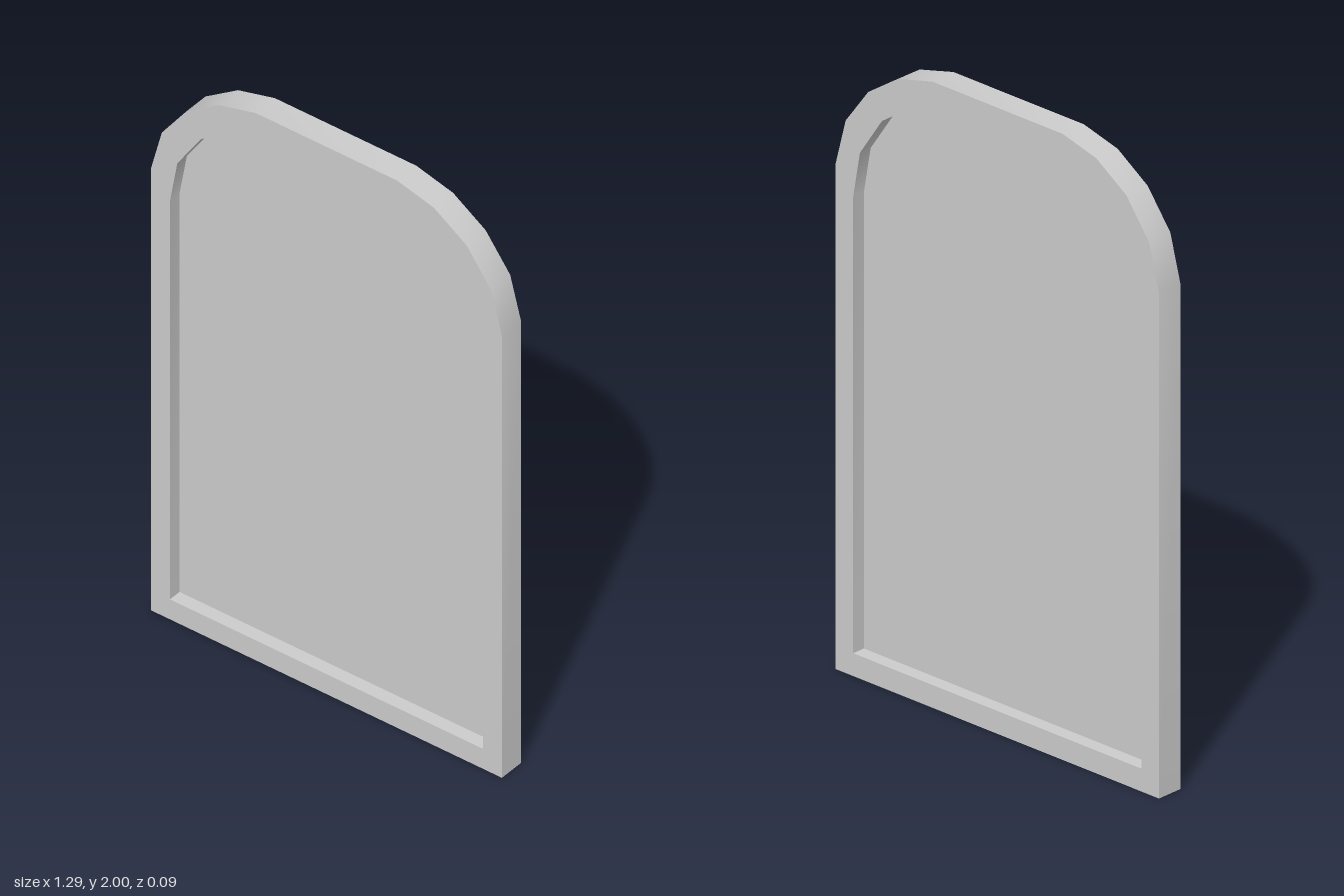
import * as THREE from 'three';
import { toCreasedNormals } from 'three/addons/utils/BufferGeometryUtils.js';

const DEPTH = 0.09;

// right half of each outline, from the bottom corner up to the flat top
const OUTER = [[0.645, 0], [0.645, 1.615], [0.605, 1.765], [0.515, 1.885], [0.395, 1.965], [0.26, 2]];
const INNER = [[0.575, 0.073], [0.575, 1.53], [0.548, 1.68], [0.46, 1.81], [0.337, 1.893], [0.2, 1.92]];

// mirror a half outline into a closed, counter-clockwise loop
function archPoints(half) {
  const left = half.map(([x, y]) => [-x, y]).reverse();
  return [...half, ...left].map(([x, y]) => new THREE.Vector2(x, y));
}

export function createModel() {
  const model = new THREE.Group();
  model.name = 'archedPanel';

  // frame: arched border, smooth round the arch and sharp elsewhere
  const border = new THREE.Shape(archPoints(OUTER));
  border.holes.push(new THREE.Path(archPoints(INNER).reverse()));
  const frameGeometry = new THREE.ExtrudeGeometry(border, { depth: DEPTH, bevelEnabled: false });
  frameGeometry.translate(0, 0, -DEPTH / 2);
  const frame = new THREE.Mesh(
    toCreasedNormals(frameGeometry, 0.7),
    new THREE.MeshStandardMaterial({ color: 0xcccccc })
  );
  frame.name = 'frame';
  model.add(frame);

  // pane: thin sheet set midway in the frame, recessed on both sides
  const pane = new THREE.Mesh(
    new THREE.ShapeGeometry(new THREE.Shape(archPoints(INNER))),
    new THREE.MeshStandardMaterial({ color: 0xcccccc, side: THREE.DoubleSide })
  );
  pane.name = 'pane';
  model.add(pane);

  return model;
}
